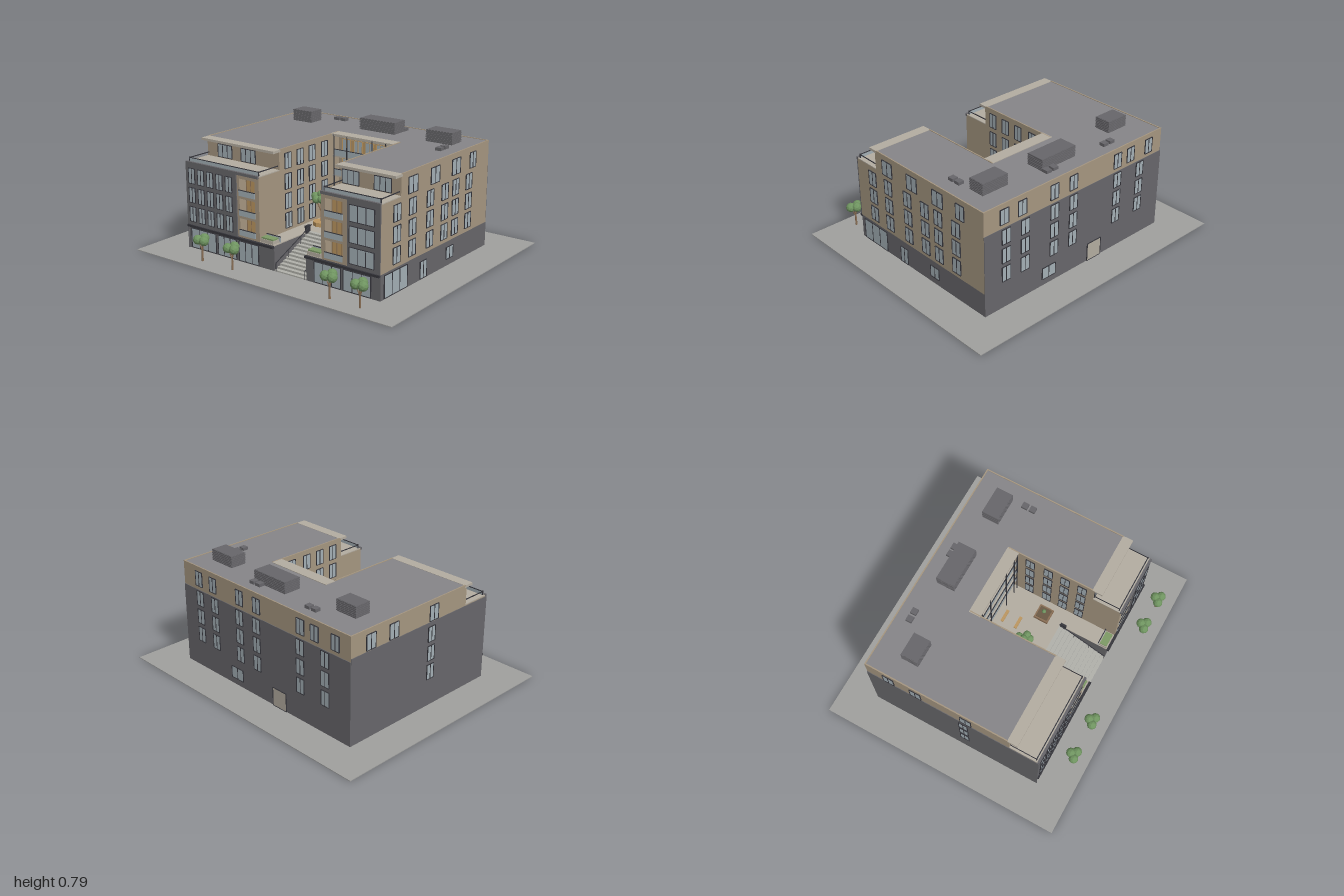
import * as THREE from 'three';

const C = {
  dark: 0x67666a, brown: 0xa59680, glass: 0xa3afb5, frame: 0x36363c, roof: 0x868588, paving: 0x9f9f9d,
  deck: 0xb3aca0, wood: 0xbb9660, soil: 0x6b5a45, leaf: 0x6f9460, grass: 0x7d9a66, bark: 0x8a6f55, steps: 0xb0b0aa,
};
const mats = {};
const mat = (c) => (mats[c] ??= new THREE.MeshStandardMaterial({ color: C[c], flatShading: true }));

function add(parent, name, color, geo, x = 0, y = 0, z = 0) {
  const m = new THREE.Mesh(geo, mat(color));
  m.name = name;
  m.position.set(x, y, z);
  parent.add(m);
  return m;
}
// Box given by its extents
function box(parent, name, color, x0, x1, y0, y1, z0, z1) {
  return add(parent, name, color, new THREE.BoxGeometry(x1 - x0, y1 - y0, z1 - z0),
    (x0 + x1) / 2, (y0 + y1) / 2, (z0 + z1) / 2);
}
// Thin round bar between two points
function bar(parent, name, color, a, b, r = 0.003) {
  const p = new THREE.Vector3(...a), q = new THREE.Vector3(...b), d = q.clone().sub(p);
  const m = add(parent, name, color, new THREE.CylinderGeometry(r, r, d.length(), 6));
  m.position.copy(p).add(q).multiplyScalar(0.5);
  m.quaternion.setFromUnitVectors(new THREE.Vector3(0, 1, 0), d.normalize());
}
// Framed window, centred at x, z with its sill at y; ry turns it to face outwards
function win(parent, x, y, z, w, h, ry = 0, panes = 2, pane = 'glass', frame = 'frame') {
  const g = new THREE.Group(), t = 0.0035;
  g.name = 'window';
  box(g, 'pane', pane, -w / 2, w / 2, 0, h, -0.004, 0.002);
  for (let i = 0; i <= panes; i++) {
    const u = -w / 2 + (w * i) / panes;
    box(g, 'mullion', frame, u - t / 2, u + t / 2, 0, h, -0.004, 0.005);
  }
  for (const v of [0, h]) box(g, 'frameRail', frame, -w / 2, w / 2, v - t / 2, v + t / 2, -0.004, 0.005);
  g.position.set(x, y, z);
  g.rotation.y = ry;
  parent.add(g);
}
// Glass balustrade with a dark handrail, along x
function balustrade(parent, x0, x1, y, z, h) {
  box(parent, 'balustradeGlass', 'glass', x0, x1, y, y + h, z - 0.002, z + 0.002);
  box(parent, 'handrail', 'frame', x0, x1, y + h, y + h + 0.004, z - 0.003, z + 0.003);
}
// Tree with faceted crown
function tree(parent, x, y, z, trunk, r, blobs) {
  const g = new THREE.Group();
  g.name = 'tree';
  for (const [bx, by, bz] of blobs) {
    add(g, 'foliage', 'leaf', new THREE.IcosahedronGeometry(r, 1), bx * r, trunk + by * r, bz * r);
    bar(g, 'branch', 'bark', [0, trunk * 0.5, 0], [bx * r, trunk + by * r, bz * r], 0.003);
  }
  add(g, 'trunk', 'bark', new THREE.CylinderGeometry(0.005, 0.007, trunk, 7), 0, trunk / 2, 0);
  g.position.set(x, y, z);
  parent.add(g);
}

const L = -0.76, R = 0.755, IL = -0.15, IR = 0.33, BACK = -0.6, COURT = -0.21;
const BASE = 0.165, TERR = 0.58, TOP = 0.71;
const floors = [0.192, 0.32, 0.448];

// One wing: its outer and inner x, and the x where dark cladding meets the loggias
function wing(outer, inner, split, loggia, columns, topColumns, shops) {
  const g = new THREE.Group();
  g.name = inner < 0 ? 'rightWing' : 'leftWing';
  const x0 = Math.min(outer, inner), x1 = Math.max(outer, inner);
  const s = inner < 0 ? 1 : -1;
  box(g, 'base', 'dark', x0, x1, 0, BASE, BACK, 0.595);
  box(g, 'middleFloors', 'brown', x0, x1, BASE, TERR, BACK, 0.535);
  box(g, 'topFloor', 'brown', x0, x1, TERR, TOP, BACK, 0.4);
  // dark front cladding
  const d0 = Math.min(outer, split), d1 = Math.max(outer, split);
  box(g, 'frontBody', 'brown', d0, d1, BASE, TERR, 0.53, 0.595);
  box(g, 'frontCladding', 'dark', d0, d1, BASE, TERR, 0.595, 0.603);
  // loggia wall with three openings
  const [a, b] = loggia;
  const wall = new THREE.Shape();
  const rect = (p, u0, u1, v0, v1) =>
    p.moveTo(u0, v0).lineTo(u1, v0).lineTo(u1, v1).lineTo(u0, v1).closePath();
  rect(wall, Math.min(split, inner), Math.max(split, inner), BASE, TERR);
  for (const y of floors) {
    const hole = new THREE.Path();
    rect(hole, a, b, y - 0.01, y + 0.1);
    wall.holes.push(hole);
    win(g, (a + b) / 2, y - 0.005, 0.537, (b - a) * 0.85, 0.09, 0, 3, 'wood', 'bark');
    balustrade(g, a - 0.004, b + 0.004, y - 0.01, 0.599, 0.036);
  }
  add(g, 'loggiaWall', 'brown', new THREE.ExtrudeGeometry(wall, { depth: 0.065, bevelEnabled: false }), 0, 0, 0.53);
  // front windows
  for (const [x, w, panes] of columns) for (const y of floors) win(g, x, y, 0.604, w, 0.1, 0, panes);
  for (const x of topColumns) win(g, x, 0.592, 0.401, 0.12, 0.085, 0, 3);
  for (const [p, q] of shops) win(g, (p + q) / 2, 0.012, 0.597, q - p, 0.13, 0, 3);
  // courtyard windows
  for (const z of [0.32, 0.2, 0.08, -0.05])
    for (const y of [...floors, 0.582]) win(g, inner + s * 0.001, y, z, 0.06, 0.1, s * Math.PI / 2);
  // terrace and overhanging eave
  box(g, 'terraceDeck', 'deck', x0, x1, TERR, TERR + 0.006, 0.4, 0.595);
  box(g, 'terraceEdge', 'dark', x0, x1, TERR - 0.008, TERR + 0.01, 0.59, 0.606);
  balustrade(g, x0 + 0.012, x1 - 0.012, TERR + 0.006, 0.58, 0.022);
  for (const x of [x0 + 0.012, x1 - 0.012]) {
    box(g, 'sideRail', 'frame', x - 0.002, x + 0.002, TERR + 0.026, TERR + 0.032, 0.4, 0.58);
    box(g, 'railPost', 'frame', x - 0.003, x + 0.003, TERR, TERR + 0.035, 0.577, 0.583);
  }
  box(g, 'eave', 'deck', x0, x1, TOP - 0.012, TOP + 0.004, 0.385, 0.455);
  box(g, 'roof', 'roof', x0 + 0.008, x1 - 0.008, TOP, TOP + 0.002, BACK + 0.008, 0.39);
  return g;
}

export function createModel() {
  const root = new THREE.Group();
  root.name = 'courtyardBuilding';
  box(root, 'ground', 'paving', -1, 1, 0, 0.005, -0.84, 0.84);

  root.add(wing(L, IL, -0.33, [-0.31, -0.185],
    [-0.71, -0.63, -0.55, -0.47, -0.39].map((x) => [x, 0.053, 2]), [-0.605, -0.405],
    [[-0.735, -0.52], [-0.5, -0.345], [-0.32, -0.16]]));
  root.add(wing(R, IR, 0.525, [0.36, 0.485], [[0.63, 0.175, 3]], [0.4, 0.63], [[0.28, 0.475], [0.495, 0.69]]));

  // Rear block joining the wings, plus cladding on the back and blank side
  box(root, 'rearBase', 'dark', IL, IR, 0, BASE, BACK, COURT);
  box(root, 'rearBlock', 'brown', IL, IR, BASE, TOP, BACK, COURT);
  box(root, 'rearRoof', 'roof', IL - 0.01, IR + 0.01, TOP, TOP + 0.002, BACK + 0.008, COURT);
  box(root, 'backCladding', 'dark', L - 0.003, R, 0, 0.555, BACK - 0.004, BACK);
  box(root, 'sideCladding', 'dark', L - 0.004, L, 0, 0.575, BACK, 0.603);

  // Parapets
  const cap = (x0, x1, z0, z1) => box(root, 'parapet', 'brown', x0, x1, TOP - 0.002, TOP + 0.006, z0, z1);
  cap(L, R, BACK, BACK + 0.008);
  cap(L, L + 0.008, BACK, 0.39);
  cap(R - 0.008, R, BACK, 0.39);
  cap(IL - 0.008, IL, COURT, 0.39);
  cap(IR, IR + 0.008, COURT, 0.39);

  // Open side windows and ground floor openings
  const H = Math.PI / 2;
  for (const z of [0.44, 0.28, 0.09, -0.075, -0.2, -0.36])
    for (const y of floors) win(root, R + 0.001, y, z, 0.072, 0.1, H);
  for (const [z, w] of [[0.28, 0.095], [0.04, 0.095], [-0.2, 0.095], [-0.4, 0.072]])
    win(root, R + 0.001, 0.58, z, w, 0.1, H);
  win(root, R + 0.001, 0.012, 0.443, 0.235, 0.14, H, 3);
  win(root, R + 0.001, 0.012, 0.15, 0.07, 0.11, H);
  win(root, R + 0.001, 0.05, -0.15, 0.08, 0.078, H);

  // Blank side and back windows
  for (const y of floors) win(root, L - 0.005, y, 0.08, 0.06, 0.1, -H);
  for (const z of [-0.44, -0.25, 0.1]) win(root, L - 0.001, 0.582, z, 0.075, 0.1, -H);
  for (const x of [0.59, 0.44, 0.2, 0.04, -0.35, -0.56])
    for (const y of floors) win(root, x, y, BACK - 0.005, 0.065, 0.1, Math.PI);
  for (const x of [0.6, 0.46, 0.2, 0.04, -0.35, -0.47, -0.64]) win(root, x, 0.582, BACK - 0.001, 0.065, 0.1, Math.PI);
  win(root, 0.24, 0.05, BACK - 0.005, 0.11, 0.08, Math.PI);
  win(root, -0.16, 0.006, BACK - 0.005, 0.12, 0.125, Math.PI, 1, 'deck');

  // Raised courtyard with stairs
  const SL = -0.035, SR = 0.215, SZ = 0.245;
  box(root, 'courtyardBase', 'dark', IL, IR, 0, BASE, COURT, SZ);
  box(root, 'courtyardPaving', 'deck', IL, IR, BASE, BASE + 0.006, COURT, SZ);
  for (const [a, b, railX] of [[IL, SL, SL], [SR, IR, SR]]) {
    box(root, 'stairFlank', 'dark', a, b, 0, BASE, SZ, 0.595);
    box(root, 'flankPaving', 'deck', a, b, BASE, BASE + 0.006, SZ, 0.595);
    box(root, 'planter', 'deck', a + 0.004, b - 0.01, BASE, BASE + 0.028, 0.535, 0.592);
    box(root, 'planting', 'grass', a + 0.008, b - 0.014, BASE + 0.02, BASE + 0.038, 0.539, 0.588);
    balustrade(root, a + 0.002, b - 0.002, BASE + 0.006, 0.53, 0.035);
    box(root, 'stairPost', 'frame', railX - 0.007, railX + 0.007, BASE, BASE + 0.05, 0.25, 0.29);
    const inX = railX + (railX < 0 ? 0.012 : -0.012);
    bar(root, 'stairHandrail', 'frame', [inX, BASE + 0.05, SZ], [inX, 0.06, 0.595]);
    for (const t of [0.33, 0.66, 1])
      bar(root, 'railPost', 'frame', [inX, BASE * (1 - t), SZ + 0.35 * t], [inX, BASE + 0.05 - 0.155 * t, SZ + 0.35 * t], 0.002);
  }
  const N = 13;
  for (let i = 0; i < N; i++)
    box(root, 'step', 'steps', SL, SR, 0, (BASE + 0.006) * (N - i) / N, SZ + 0.35 * i / N, SZ + 0.35 * (i + 1) / N);

  // Street canopies
  for (const [a, b] of [[L, SL], [SR, R]]) box(root, 'streetCanopy', 'frame', a, b, 0.152, BASE + 0.002, 0.59, 0.613);

  // Courtyard facade: timber windows, balconies and slender posts
  for (const y of [...floors, 0.582]) {
    for (const x of [-0.085, 0.01, 0.1, 0.19, 0.275]) win(root, x, y - 0.01, COURT + 0.001, 0.065, 0.1, 0, 2, 'glass', 'wood');
    for (const x of [-0.035, 0.055, 0.145, 0.235]) box(root, 'timberPanel', 'wood', x - 0.011, x + 0.011, y - 0.01, y + 0.09, COURT, COURT + 0.003);
    if (y > 0.2) {
      box(root, 'balconySlab', 'deck', IL, IR, y - 0.022, y - 0.012, COURT, -0.14);
      balustrade(root, IL + 0.01, IR - 0.01, y - 0.012, -0.142, 0.04);
    }
  }
  for (const x of [-0.135, -0.03, 0.17, 0.275, 0.315]) box(root, 'balconyPost', 'frame', x - 0.003, x + 0.003, BASE, TOP, -0.14, -0.134);
  box(root, 'courtyardEave', 'deck', IL - 0.012, IR + 0.005, TOP - 0.01, TOP + 0.006, COURT - 0.005, -0.135);

  // Roof plant rooms with louvres, and small vents
  for (const [x0, x1, z0, z1] of [[-0.62, -0.46, -0.42, -0.305], [-0.09, 0.19, -0.485, -0.36], [0.44, 0.635, -0.46, -0.345]]) {
    box(root, 'plantRoom', 'dark', x0 + 0.003, x1 - 0.003, TOP, 0.79, z0 + 0.003, z1 - 0.003);
    for (let i = 0; i < 7; i++) box(root, 'louvre', 'dark', x0, x1, TOP + 0.006 + i * 0.011, TOP + 0.012 + i * 0.011, z0, z1);
  }
  for (const [x, z] of [[-0.38, -0.505], [-0.325, -0.505], [0.115, -0.505], [0.17, -0.505], [0.635, -0.255], [0.635, -0.2]])
    box(root, 'roofVent', 'dark', x - 0.02, x + 0.02, TOP, 0.732, z - 0.02, z + 0.02);

  // Courtyard furniture
  for (const z of [-0.105, -0.005]) {
    box(root, 'benchSeat', 'wood', 0.047, 0.135, 0.188, 0.197, z - 0.01, z + 0.01);
    for (const x of [0.055, 0.122]) box(root, 'benchLeg', 'frame', x, x + 0.006, BASE, 0.188, z - 0.008, z + 0.008);
  }
  box(root, 'planterBox', 'bark', 0.18, 0.28, BASE, 0.195, 0.065, 0.165);
  box(root, 'planterSoil', 'soil', 0.19, 0.27, 0.19, 0.198, 0.075, 0.155);
  bar(root, 'shrubStem', 'bark', [0.23, 0.19, 0.115], [0.23, 0.235, 0.115]);
  add(root, 'shrub', 'leaf', new THREE.IcosahedronGeometry(0.014, 1), 0.23, 0.235, 0.115);
  add(root, 'treeSeat', 'wood', new THREE.CylinderGeometry(0.055, 0.055, 0.03, 8), -0.05, BASE + 0.018, 0.11);
  tree(root, -0.05, BASE, 0.11, 0.185, 0.027, [[0, 1, 0], [1.5, 0.5, 0.2], [-1.4, 0.5, 0.5], [0.3, 0.3, -1.3], [-0.4, 0, 1.4], [1, 0.2, 1.2]]);

  // Street trees
  for (const x of [-0.51, -0.255, 0.5, 0.715])
    tree(root, x, 0.005, 0.735, 0.13, 0.032, [[-0.8, 0.3, 0.3], [0.8, 0.3, 0.3], [0, 0.5, -0.7]]);
  return root;
}
